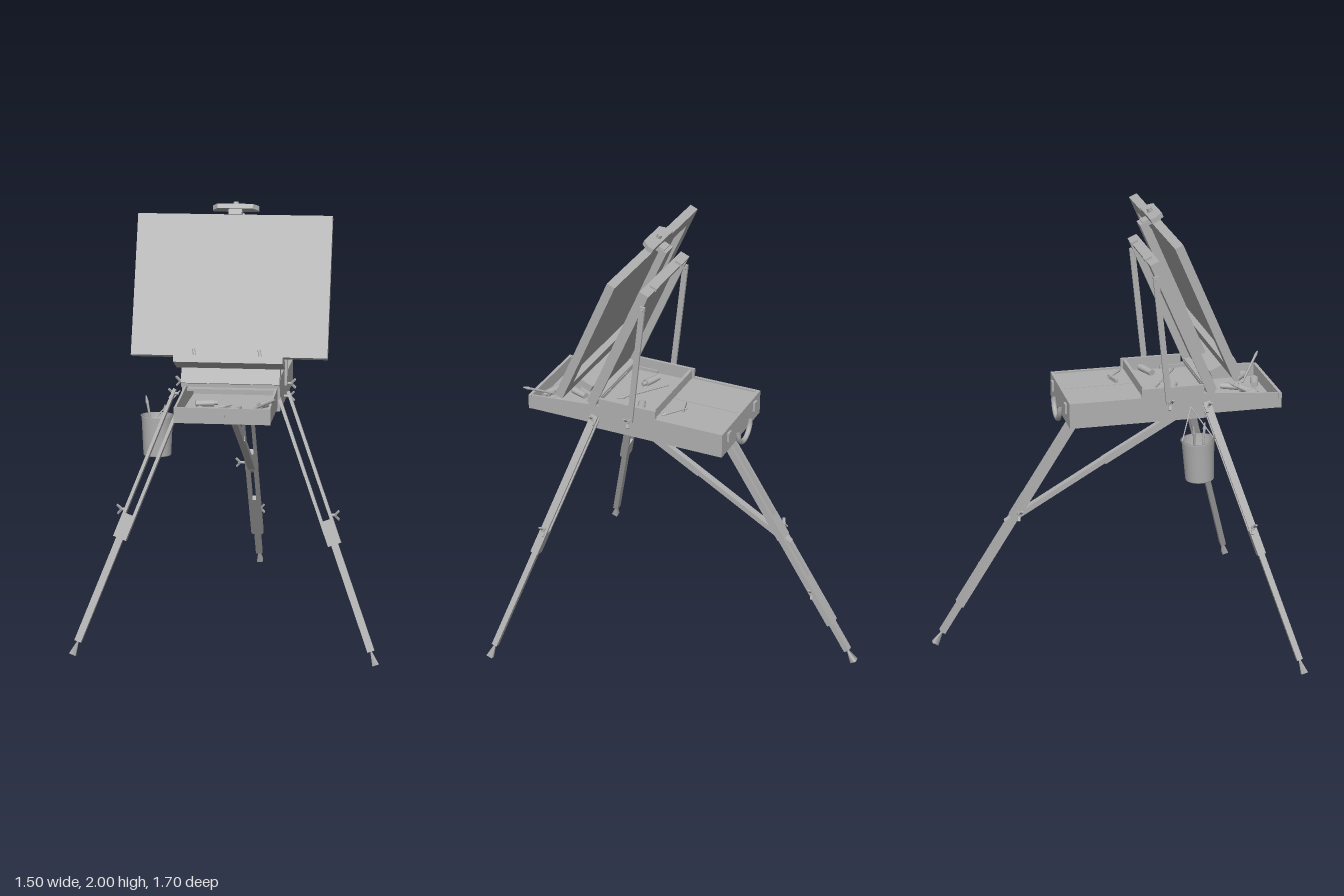
import * as THREE from 'three';

const V = (x, y, z) => new THREE.Vector3(x, y, z);

export function createModel() {
  const model = new THREE.Group();
  const grey = new THREE.MeshStandardMaterial({ color: 0xb0b0b0 });
  grey.name = 'plain grey';
  grey.side = THREE.DoubleSide;

  const easel = new THREE.Group();
  easel.name = 'easel';
  easel.rotation.y = 0.616;
  easel.position.set(-0.094, 0, 0.066);
  model.add(easel);

  const add = (parent, name, geo) => {
    const m = new THREE.Mesh(geo, grey);
    m.name = name;
    parent.add(m);
    return m;
  };
  // Box given by its lower and upper limits on each axis
  const box = (parent, name, x0, x1, y0, y1, z0, z1) => {
    const m = add(parent, name, new THREE.BoxGeometry(x1 - x0, y1 - y0, z1 - z0));
    m.position.set((x0 + x1) / 2, (y0 + y1) / 2, (z0 + z1) / 2);
    return m;
  };
  // Places a y-long mesh between two points, its x axis kept close to the easel's x
  const align = (m, a, b) => {
    const y = b.clone().sub(a).normalize();
    const x = Math.abs(y.x) > 0.9 ? V(0, 0, 1) : V(1, 0, 0);
    x.addScaledVector(y, -x.dot(y)).normalize();
    m.quaternion.setFromRotationMatrix(new THREE.Matrix4().makeBasis(x, y, x.clone().cross(y)));
    m.position.copy(a).lerp(b, 0.5);
    return m;
  };
  const bar = (parent, name, a, b, w, d) =>
    align(add(parent, name, new THREE.BoxGeometry(w, a.distanceTo(b), d)), a, b);
  const rod = (parent, name, a, b, ra, rb = ra, n = 10) =>
    align(add(parent, name, new THREE.CylinderGeometry(rb, ra, a.distanceTo(b), n)), a, b);
  const wingNut = (parent, p, s) => {
    rod(parent, 'wingNutBolt', p, V(p.x + s * 0.035, p.y, p.z), 0.007);
    for (const k of [-1, 1])
      bar(parent, 'wingNutEar', V(p.x + s * 0.025, p.y, p.z),
        V(p.x + s * 0.045, p.y + k * 0.022, p.z + k * 0.008), 0.007, 0.012);
  };

  // Paint box: shell, covered rear part and raised front compartment
  const paintBox = new THREE.Group();
  paintBox.name = 'paintBox';
  easel.add(paintBox);
  box(paintBox, 'boxFloor', -0.223, 0.223, 1.08, 1.09, -0.505, 0.13);
  box(paintBox, 'boxBack', -0.223, 0.223, 1.08, 1.195, -0.505, -0.49);
  box(paintBox, 'boxDivider', -0.223, 0.223, 1.09, 1.23, -0.17, -0.155);
  box(paintBox, 'compartmentFloor', -0.21, 0.21, 1.165, 1.175, -0.155, 0.125);
  box(paintBox, 'frontRail', -0.223, 0.223, 1.19, 1.215, 0.115, 0.15);
  for (const s of [-1, 1]) {
    const side = (name, y0, y1, z0, z1) =>
      box(paintBox, name, s * 0.216 - 0.007, s * 0.216 + 0.007, y0, y1, z0, z1);
    side('boxSide', 1.08, 1.195, -0.505, 0.13);
    side('compartmentSide', 1.195, 1.235, -0.18, 0.1);
    box(paintBox, 'coverPanel', s * 0.105 - 0.103, s * 0.105 + 0.103, 1.178, 1.188, -0.49, -0.17);
    const catchPlate = box(paintBox, 'backCatch', s * 0.15 - 0.015, s * 0.15 + 0.015, 1.13, 1.175, -0.515, -0.505);
    catchPlate.name = 'backCatch';
  }
  const handle = add(paintBox, 'carryHandle', new THREE.TorusGeometry(0.07, 0.012, 8, 20, Math.PI));
  handle.rotation.z = Math.PI;
  handle.position.set(0, 1.125, -0.52);

  // Drawer pulled out to the front, its sides sloping down
  const drawer = new THREE.Group();
  drawer.name = 'drawer';
  easel.add(drawer);
  box(drawer, 'drawerFloor', -0.21, 0.21, 1.095, 1.105, 0.0, 0.455);
  box(drawer, 'drawerFront', -0.213, 0.213, 1.095, 1.165, 0.448, 0.462);
  rod(drawer, 'drawerKnob', V(0, 1.13, 0.46), V(0, 1.13, 0.475), 0.014);
  const wall = new THREE.Shape([[-0.45, 1.095], [0, 1.095], [0, 1.19], [-0.12, 1.19], [-0.45, 1.165]]
    .map(p => new THREE.Vector2(...p)));
  for (const s of [-1, 1]) {
    const m = add(drawer, 'drawerSide', new THREE.ExtrudeGeometry(wall, { depth: 0.01, bevelEnabled: false }));
    m.rotation.y = Math.PI / 2;
    m.position.x = s * 0.206 - 0.005;
  }

  // Paint tubes and brushes: x, z, heading, length
  const paintTube = (x, y, z, a, l) => {
    const d = V(Math.sin(a), 0, Math.cos(a)), p = V(x, y, z);
    const m = rod(easel, 'paintTube', p, p.clone().addScaledVector(d, l), 0.017, 0.02);
    m.scale.z = 0.8;
    rod(easel, 'tubeCap', p.clone().addScaledVector(d, l), p.clone().addScaledVector(d, l + 0.02), 0.01);
  };
  [[-0.12, 0.3, 0.6, 0.09], [-0.07, 0.38, 2.2, 0.08], [0.05, 0.25, -0.4, 0.08], [0.12, 0.34, 0.9, 0.08],
    [0.14, 0.22, 2.6, 0.07], [-0.15, 0.2, 1.8, 0.08], [0.02, 0.4, 1.3, 0.09]]
    .forEach(([x, z, a, l]) => paintTube(x, 1.125, z, a, l));
  [[0.1, -0.06, 1.9, 0.09], [-0.14, -0.03, 1.2, 0.08]].forEach(([x, z, a, l]) => paintTube(x, 1.195, z, a, l));
  const brush = (a, b) => {
    rod(easel, 'brushHandle', a, b, 0.004, 0.006, 8);
    const tip = b.clone().lerp(a, -0.15);
    rod(easel, 'brushHair', b, tip, 0.008, 0.003, 8);
  };
  brush(V(0.08, 1.12, 0.36), V(0.215, 1.2, 0.46));
  brush(V(-0.16, 1.12, 0.4), V(0.0, 1.14, 0.3));
  brush(V(-0.1, 1.19, -0.1), V(0.1, 1.2, 0.03));
  brush(V(0.07, 1.197, -0.27), V(0.16, 1.197, -0.2));
  bar(easel, 'paletteKnife', V(0.02, 1.195, -0.24), V(0.1, 1.195, -0.26), 0.012, 0.02);

  // Tilted upper part: lid, ledge, canvas and top holder
  const rest = new THREE.Group();
  rest.name = 'tiltedRest';
  rest.position.set(0, 1.21, 0.16);
  rest.rotation.x = -0.407;
  easel.add(rest);
  box(rest, 'lidPanel', -0.223, 0.223, 0, 0.66, -0.01, 0);
  box(rest, 'lidTopEdge', -0.223, 0.223, 0.645, 0.66, -0.045, -0.01);
  box(rest, 'lidBottomEdge', -0.223, 0.223, 0, 0.015, -0.045, -0.01);
  for (const s of [-1, 1]) {
    box(rest, 'lidSideEdge', s * 0.216 - 0.007, s * 0.216 + 0.007, 0, 0.66, -0.045, -0.01);
    box(rest, 'lidCatch', s * 0.135 - 0.015, s * 0.135 + 0.015, 0.655, 0.67, -0.05, -0.015);
    rod(rest, 'ledgePeg', V(s * 0.147, 0.09, 0.11), V(s * 0.147 - 0.012, 0.135, 0.107), 0.007);
  }
  box(rest, 'ledge', -0.245, 0.245, 0.07, 0.103, 0.0, 0.125);
  box(rest, 'mast', -0.035, 0.035, 0.1, 0.78, 0.005, 0.04);
  box(rest, 'holderNeck', -0.03, 0.03, 0.76, 0.785, 0.02, 0.1);
  const holder = new THREE.Shape([[-0.105, 0.03], [0.105, 0.03], [0.105, 0.005], [0.08, -0.03], [-0.08, -0.03], [-0.105, 0.005]]
    .map(p => new THREE.Vector2(...p)));
  const holderMesh = add(rest, 'topHolder', new THREE.ExtrudeGeometry(holder, { depth: 0.022, bevelEnabled: false }));
  holderMesh.rotation.x = -Math.PI / 2;
  holderMesh.position.set(0, 0.783, 0.08);
  rod(rest, 'holderKnob', V(0, 0.8, 0.075), V(0, 0.822, 0.075), 0.012);

  // Canvas on a stretcher frame open at the back
  box(rest, 'canvas', -0.441, 0.441, 0.105, 0.758, 0.088, 0.098);
  for (const s of [-1, 1]) {
    box(rest, 'stretcherSide', s * 0.409 - 0.032, s * 0.409 + 0.032, 0.105, 0.758, 0.059, 0.088);
    const y = 0.4315 + s * 0.2945;
    box(rest, 'stretcherRail', -0.377, 0.377, y - 0.032, y + 0.032, 0.059, 0.088);
  }

  // Side stays holding the lid
  for (const s of [-1, 1]) {
    bar(easel, 'lidStay', V(s * 0.232, 1.16, -0.06), V(s * 0.232, 1.75, -0.12), 0.012, 0.026);
    wingNut(easel, V(s * 0.23, 1.17, -0.06), s);
    rod(easel, 'stayPin', V(s * 0.215, 1.735, -0.118), V(s * 0.25, 1.735, -0.118), 0.008);
  }

  // Legs: twin upper rails, sliding lower part and pointed foot
  const leg = (name, top, foot, joint, slotEnd) => {
    const g = new THREE.Group();
    g.name = name;
    easel.add(g);
    const at = t => top.clone().lerp(foot, t);
    const dir = foot.clone().sub(top).normalize();
    const side = V(1, 0, 0).addScaledVector(dir, -dir.x).normalize();
    const pair = (part, t0, t1, off, w, d) => {
      for (const s of [-1, 1])
        bar(g, part, at(t0).addScaledVector(side, s * off), at(t1).addScaledVector(side, s * off), w, d);
    };
    pair('upperRail', 0, joint, 0.024, 0.014, 0.034);
    bar(g, 'upperBlock', at(joint - 0.09), at(joint), 0.062, 0.036);
    if (slotEnd) {
      pair('slottedRail', joint, slotEnd, 0.02, 0.02, 0.03);
      bar(g, 'slotBlock', at(joint + 0.17), at(slotEnd), 0.06, 0.03);
      wingNut(g, at(0.69), 1);
    }
    const start = slotEnd ? slotEnd - 0.04 : joint - 0.06;
    const lower = bar(g, 'lowerLeg', at(start), at(0.95), 0.032, 0.026);
    const tip = add(g, 'footTip', new THREE.CylinderGeometry(0.021, 0.005, foot.distanceTo(top) * 0.05, 4, 1));
    tip.geometry.rotateY(Math.PI / 4);
    tip.quaternion.copy(lower.quaternion);
    tip.position.copy(at(0.975));
    return at;
  };
  for (const s of [-1, 1]) {
    const at = leg(s > 0 ? 'leftLeg' : 'rightLeg', V(s * 0.235, 1.16, 0.105), V(s * 0.685, 0.005, 0.45), 0.56);
    wingNut(easel, at(0.01), s);
    wingNut(easel, at(0.45).add(V(s * 0.02, 0, 0)), s);
  }
  const back = leg('backLeg', V(0, 1.09, -0.41), V(0, 0.005, -1.105), 0.46, 0.83);
  wingNut(easel, back(0.43).add(V(-0.03, 0, 0)), -1);

  // Diagonal brace under the box
  bar(easel, 'brace', V(0, 0.57, -0.765), V(0, 0.85, -0.28), 0.034, 0.024);
  bar(easel, 'braceSlide', V(0, 0.83, -0.31), V(0, 1.085, 0.14), 0.028, 0.034);

  // Hanging bucket with wire and brushes
  const bucket = new THREE.Group();
  bucket.name = 'bucket';
  bucket.position.set(-0.35, 0.845, 0.05);
  bucket.rotation.x = -0.05;
  easel.add(bucket);
  const profile = [[0, 0], [0.062, 0], [0.064, 0.004], [0.072, 0.18], [0.077, 0.186], [0.07, 0.186], [0.06, 0.008], [0, 0.008]]
    .map(p => new THREE.Vector2(...p));
  add(bucket, 'bucketBody', new THREE.LatheGeometry(profile, 28));
  for (const s of [-1, 1])
    rod(bucket, 'bucketWire', V(0, 0.18, s * 0.072), V(0.105, 0.3, 0), 0.003, 0.003, 6);
  brush(V(-0.36, 0.87, 0.03), V(-0.4, 1.08, 0.01));
  brush(V(-0.33, 0.87, 0.06), V(-0.31, 1.06, 0.08));

  return model;
}
